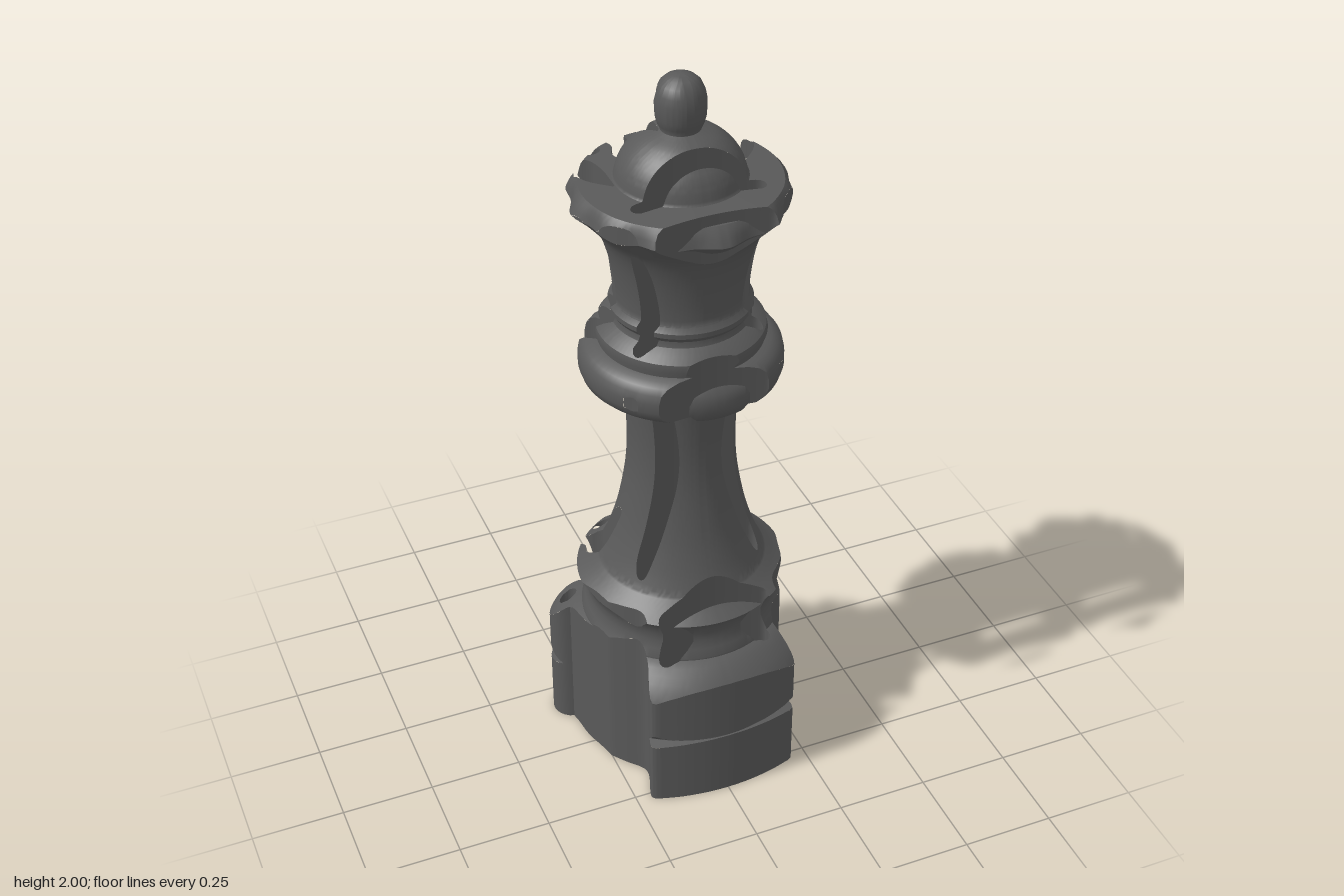
import * as THREE from 'three';
import { toCreasedNormals } from 'three/addons/utils/BufferGeometryUtils.js';

// A turned chess piece, cut vertically by a flat crown-shaped plan.
const AXIS_Z = -0.027;
const V2 = (p) => new THREE.Vector2(p[0], p[1]);
const spline = (pts, n) => new THREE.SplineCurve(pts.map(V2)).getPoints(n);

function arc(cx, cz, r, from, to, n) {
  const out = [];
  for (let i = 0; i <= n; i++) {
    const a = THREE.MathUtils.degToRad(from + (to - from) * i / n);
    out.push(new THREE.Vector2(cx + r * Math.cos(a), cz + r * Math.sin(a)));
  }
  return out;
}

// Crown plan: right half in (x, z), then mirrored
function crownOutline() {
  const half = [
    ...arc(0, -0.257, 0.053, -90, 42, 10),
    ...spline([[0.033, -0.19], [0.033, -0.16], [0.041, -0.1], [0.053, -0.027]], 9),
    ...spline([[0.053, -0.027], [0.085, -0.095], [0.107, -0.145], [0.115, -0.178]], 9).slice(1),
    ...arc(0.153, -0.232, 0.053, 138, 420, 20),
    ...spline([[0.171, -0.165], [0.165, -0.12], [0.165, -0.08], [0.167, -0.027]], 9),
    ...spline([[0.167, -0.027], [0.202, -0.065], [0.222, -0.095], [0.233, -0.125]], 9).slice(1),
    ...arc(0.278, -0.17, 0.054, 146, 435, 20),
    ...spline([[0.287, -0.09], [0.28, -0.03], [0.265, 0.02], [0.253, 0.065]], 9),
    ...spline([[0.25, 0.075], [0.22, 0.115], [0.19, 0.15], [0.183, 0.175], [0.19, 0.205],
      [0.202, 0.238], [0.208, 0.262], [0.204, 0.272], [0.192, 0.279]], 22),
    ...spline([[0.185, 0.281], [0.13, 0.296], [0.06, 0.307], [0, 0.31]], 12),
  ];
  const mirrored = half.slice(1, -1).reverse().map((p) => new THREE.Vector2(-p.x, p.y));
  return [...half, ...mirrored];
}

// Gently bowed slot with round ends, wound opposite to the outline
function slot(halfWidth, zMid, zEnd, h) {
  const side = (s) => {
    const out = [];
    for (let i = -14; i <= 14; i++) {
      const t = i / 14;
      out.push(new THREE.Vector2(t * (halfWidth - h), zMid + (zEnd - zMid) * t * t + s * h));
    }
    return out;
  };
  return [
    ...side(1), ...arc(halfWidth - h, zEnd, h, 90, -90, 8).slice(1, -1),
    ...side(-1).reverse(), ...arc(h - halfWidth, zEnd, h, 270, 90, 8).slice(1, -1),
  ];
}

const eyelet = (x, z) => arc(x, z, 0.024, 360, 0, 20).slice(0, -1);

// Turned profile: smooth runs of (radius, height) that meet at sharp edges
function turnedProfile() {
  const runs = [
    [[0.378, 0], [0.378, 0.185]],
    [[0.378, 0.185], [0.333, 0.194]],
    [[0.333, 0.198], [0.358, 0.22], [0.373, 0.265], [0.373, 0.32], [0.357, 0.355], [0.33, 0.387], [0.295, 0.415], [0.272, 0.425]],
    [[0.272, 0.43], [0.258, 0.465], [0.256, 0.5], [0.268, 0.535], [0.282, 0.55]],
    [[0.282, 0.55], [0.25, 0.575], [0.222, 0.6]],
    [[0.222, 0.6], [0.197, 0.66], [0.17, 0.75], [0.148, 0.87], [0.141, 0.97], [0.144, 1.07], [0.153, 1.17]],
    [[0.153, 1.17], [0.24, 1.174]],
    [[0.24, 1.174], [0.258, 1.195], [0.261, 1.23], [0.254, 1.262], [0.235, 1.28], [0.212, 1.288]],
    [[0.212, 1.289], [0.218, 1.31], [0.208, 1.333], [0.18, 1.348], [0.173, 1.365]],
    [[0.173, 1.367], [0.182, 1.38], [0.182, 1.393], [0.172, 1.406]],
    [[0.17, 1.41], [0.172, 1.46], [0.184, 1.54], [0.206, 1.605], [0.243, 1.65], [0.28, 1.682]],
    [[0.28, 1.682], [0.266, 1.71], [0.25, 1.728]],
    [[0.25, 1.728], [0.165, 1.735]],
    [[0.163, 1.737], [0.152, 1.775], [0.13, 1.81], [0.095, 1.84], [0.05, 1.86]],
    [[0.05, 1.862], [0.06, 1.885], [0.063, 1.915], [0.062, 1.945], [0.05, 1.978], [0.028, 1.995], [0, 2]],
  ];
  const out = [];
  for (const run of runs) {
    const curve = new THREE.SplineCurve(run.map(V2));
    const [r0, y0] = run[0], [r1, y1] = run[run.length - 1];
    const step = Math.abs(r1 - r0) > 0.8 * (y1 - y0) ? 0.01 : 0.022; // finer on shelves
    for (const p of curve.getPoints(Math.max(2, Math.ceil(curve.getLength() / step)))) {
      const last = out[out.length - 1];
      if (last) {
        if (p.distanceTo(last) < 1e-4) continue;
        p.y = Math.max(p.y, last.y + 1e-4);
      }
      out.push(p);
    }
  }
  return out;
}

// Lightly scalloped coronet edge
const scallop = (y, a) =>
  0.016 * Math.max(0, 1 - Math.abs(y - 1.685) / 0.045) * (0.5 - 0.5 * Math.cos(12 * a));

// Signed distance to the plan, positive inside
function planDistance(loops, x, z) {
  let best = Infinity, inside = false;
  for (const loop of loops) {
    for (let i = 0, j = loop.length - 1; i < loop.length; j = i++) {
      const a = loop[j], b = loop[i], dx = b.x - a.x, dz = b.y - a.y;
      const t = Math.min(1, Math.max(0, ((x - a.x) * dx + (z - a.y) * dz) / (dx * dx + dz * dz || 1)));
      best = Math.min(best, (x - a.x - t * dx) ** 2 + (z - a.y - t * dz) ** 2);
      if ((a.y > z) !== (b.y > z) && x < a.x + dx * (z - a.y) / dz) inside = !inside;
    }
  }
  return (inside ? 1 : -1) * Math.sqrt(best);
}

// Grid surface of [x, y, z, keep] samples, trimmed where keep falls below zero
function trimmedGrid(nu, nv, sample) {
  const grid = [], pos = [];
  for (let i = 0; i <= nu; i++) {
    grid.push([]);
    for (let j = 0; j <= nv; j++) grid[i].push(sample(i, j));
  }
  const A = new THREE.Vector3(), B = new THREE.Vector3(), C = new THREE.Vector3();
  const emit = (a, b, c) => {
    A.fromArray(a); B.fromArray(b).sub(A); C.fromArray(c).sub(A);
    if (B.cross(C).length() > 1e-9) pos.push(...a.slice(0, 3), ...b.slice(0, 3), ...c.slice(0, 3));
  };
  const clip = (tri) => {
    const poly = [];
    tri.forEach((p, k) => {
      const q = tri[(k + 1) % 3];
      if (p[3] >= 0) poly.push(p);
      if ((p[3] >= 0) !== (q[3] >= 0)) {
        const t = p[3] / (p[3] - q[3]);
        poly.push(p.map((v, n) => v + (q[n] - v) * t));
      }
    });
    for (let k = 2; k < poly.length; k++) emit(poly[0], poly[k - 1], poly[k]);
  };
  for (let i = 0; i < nu; i++) {
    for (let j = 0; j < nv; j++) {
      const a = grid[i][j], b = grid[i][j + 1], c = grid[i + 1][j], d = grid[i + 1][j + 1];
      clip([a, b, c]);
      clip([c, b, d]);
    }
  }
  const geo = new THREE.BufferGeometry();
  geo.setAttribute('position', new THREE.Float32BufferAttribute(pos, 3));
  return toCreasedNormals(geo, 0.6);
}

export function createModel() {
  const group = new THREE.Group();
  const material = new THREE.MeshStandardMaterial({ color: 0x595959 });
  const add = (name, geometry) => {
    const mesh = new THREE.Mesh(geometry, material);
    mesh.name = name;
    group.add(mesh);
  };

  const outline = crownOutline();
  const holes = [slot(0.173, 0.08, 0.087, 0.0205), slot(0.159, 0.197, 0.207, 0.0205), eyelet(0, -0.26)];
  for (const s of [-1, 1]) holes.push(eyelet(s * 0.154, -0.231), eyelet(s * 0.279, -0.17));
  const loops = [outline, ...holes];
  const profile = turnedProfile(), rows = profile.length - 1;

  // Turned surface, kept only inside the crown plan
  const segments = 220;
  add('turnedBody', trimmedGrid(segments, rows, (i, j) => {
    const a = (i % segments) / segments * Math.PI * 2, { x: radius, y } = profile[j];
    const r = radius - scallop(y, a);
    const x = r * Math.cos(a), z = AXIS_Z + r * Math.sin(a);
    return [x, y, z, planDistance(loops, x, z)];
  }));

  // Upright walls of the outline, slots and eyelets, kept only inside the turned body
  loops.forEach((loop, k) => {
    const name = k === 0 ? 'crownWall' : k < 3 ? 'slotWall' : 'eyeletWall';
    add(name, trimmedGrid(loop.length, rows, (i, j) => {
      const p = loop[i % loop.length], { x: radius, y } = profile[j];
      const a = Math.atan2(p.y - AXIS_Z, p.x);
      return [p.x, y, p.y, radius - scallop(y, a) - Math.hypot(p.x, p.y - AXIS_Z)];
    }));
  });

  // Flat underside
  const shape = new THREE.Shape(outline);
  shape.holes = holes.map((h) => new THREE.Path(h));
  add('underside', new THREE.ShapeGeometry(shape).rotateX(Math.PI / 2));
  return group;
}
